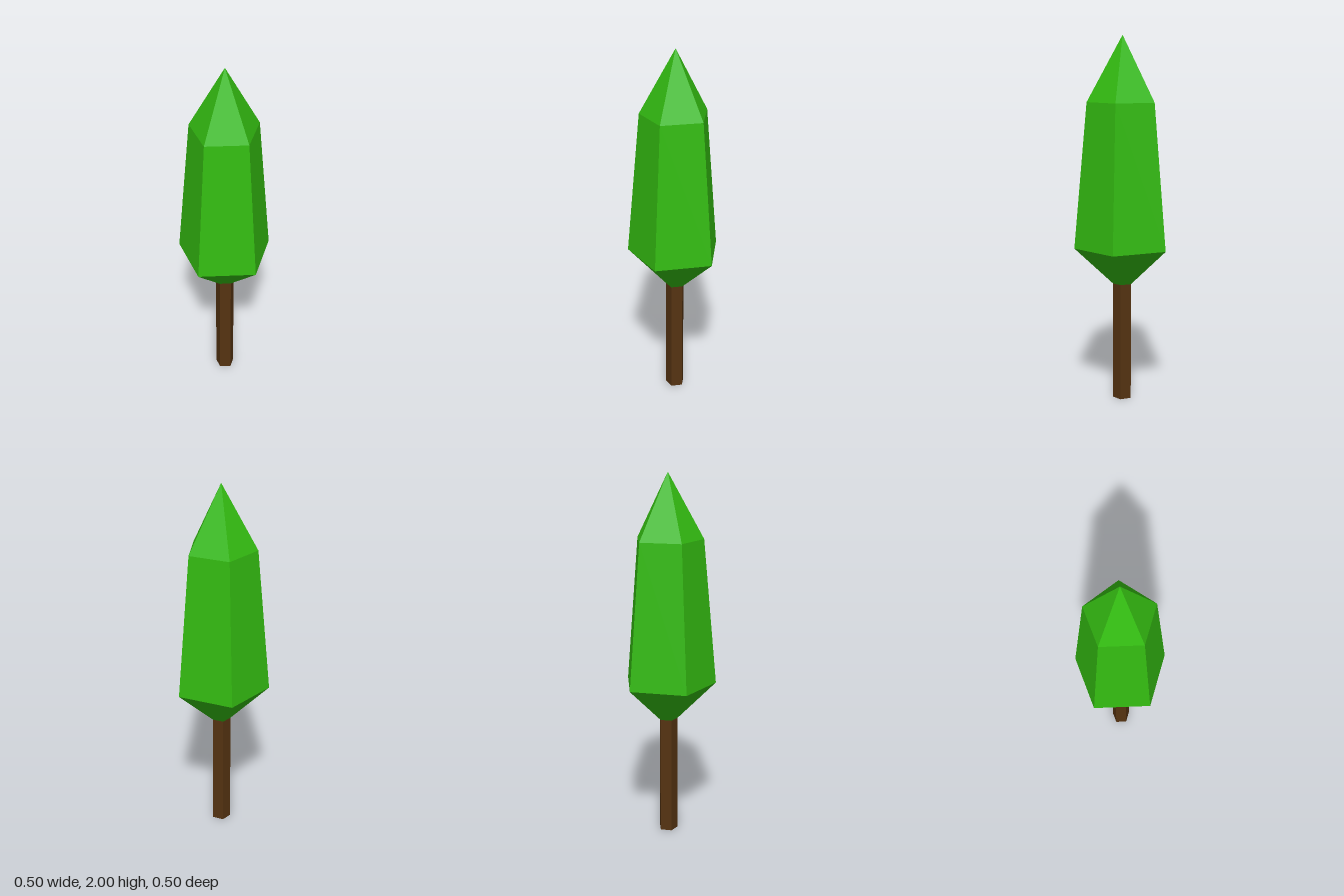
import * as THREE from 'three';

const SIDES = 5;
const TURN = THREE.MathUtils.degToRad(9);
const TRUNK_RADIUS = 0.053;
const TRUNK_HEIGHT = 0.65;

export function createModel() {
  const leafGreen = new THREE.MeshStandardMaterial({ name: 'leafGreen', color: 0x33bb11, flatShading: true });
  const barkBrown = new THREE.MeshStandardMaterial({ name: 'barkBrown', color: 0x553311, flatShading: true });

  const tree = new THREE.Group();
  tree.name = 'tree';

  // Five-sided trunk
  const trunk = new THREE.Mesh(
    new THREE.CylinderGeometry(TRUNK_RADIUS, TRUNK_RADIUS, TRUNK_HEIGHT, SIDES, 1, false, TURN),
    barkBrown
  );
  trunk.name = 'trunk';
  trunk.position.y = TRUNK_HEIGHT / 2;

  // Faceted crown: [radius, height] rings from the trunk to the tip
  const rings = [[0, 0.65], [TRUNK_RADIUS, 0.65], [0.265, 0.85], [0.194, 1.645], [0, 2]];
  const profile = rings.map(([r, y]) => new THREE.Vector2(r, y));
  const crown = new THREE.Mesh(new THREE.LatheGeometry(profile, SIDES, TURN), leafGreen);
  crown.name = 'crown';

  // A pentagon's box is off its axis, so shift the axis to centre the tree
  tree.add(trunk, crown);
  for (const part of tree.children) {
    part.position.x = -0.013;
    part.position.z = -0.013;
  }
  return tree;
}
